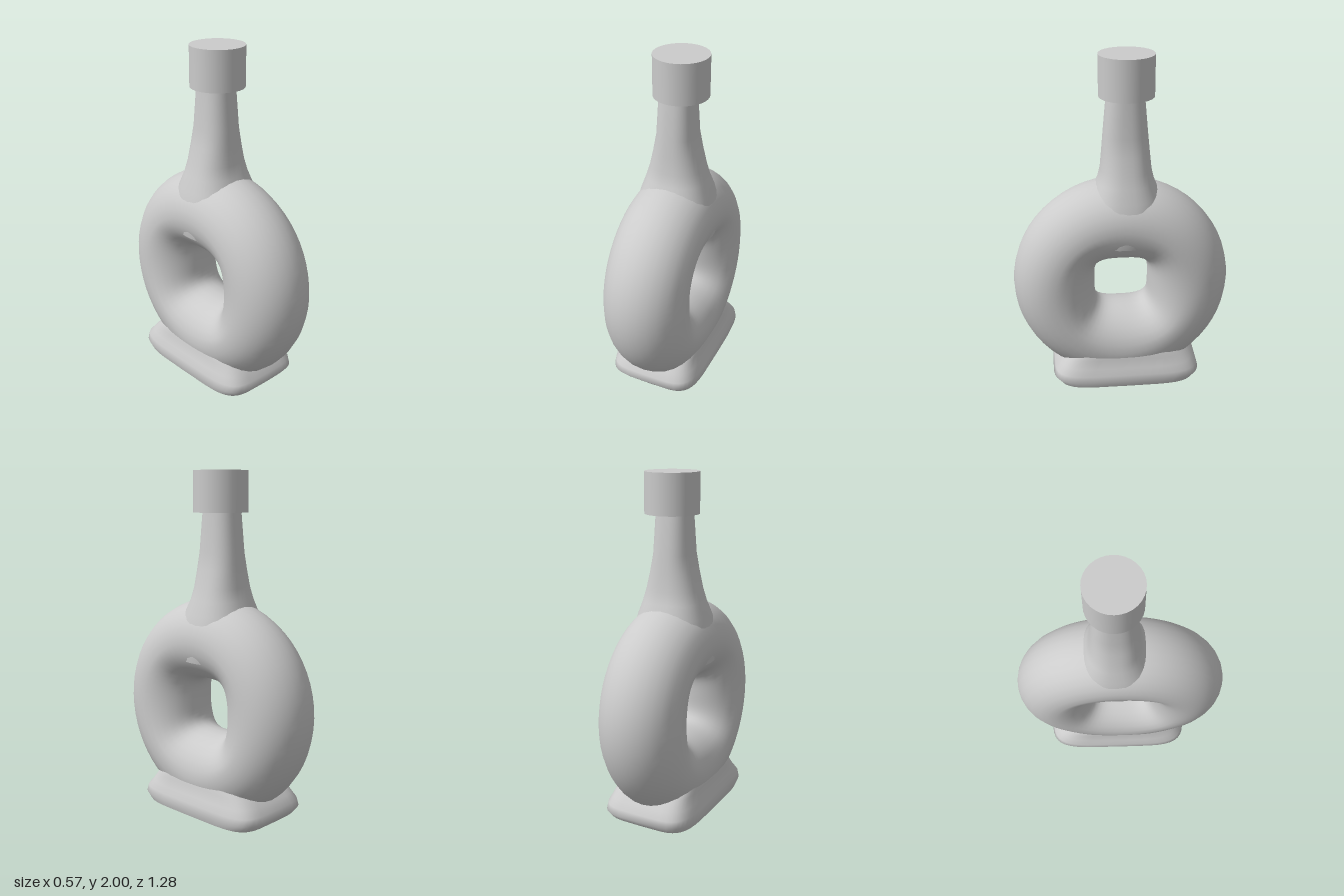
import * as THREE from 'three';

const material = new THREE.MeshStandardMaterial({ color: 0xcccccc });

// Skins superellipse sections [y, half width x, half depth z, centre z], listed from bottom to top
function loft(sections, power, sides = 40) {
  const pos = [], index = [];
  const bend = (v) => Math.sign(v) * Math.abs(v) ** (2 / power);
  for (const [y, hx, hz, cz] of sections) {
    for (let i = 0; i < sides; i++) {
      const a = (i / sides) * Math.PI * 2;
      pos.push(hx * bend(Math.sin(a)), y, cz + hz * bend(Math.cos(a)));
    }
  }
  for (let j = 0; j < sections.length - 1; j++) {
    for (let i = 0; i < sides; i++) {
      const k = (i + 1) % sides;
      const a = j * sides + i, b = j * sides + k;
      index.push(a, b, b + sides, a, b + sides, a + sides);
    }
  }
  const g = new THREE.BufferGeometry();
  g.setAttribute('position', new THREE.Float32BufferAttribute(pos, 3));
  g.setIndex(index);
  g.computeVertexNormals();
  return g;
}

// Ring lying in the yz plane, round outside with a slightly squared hole
function ringGeometry(R, r, halfWidth) {
  const sides = 28, around = 56, centreY = 0.643;
  const pos = [], index = [];
  for (let j = 0; j < around; j++) {
    const t = (j / around) * Math.PI * 2;
    const c = Math.cos(t), s = Math.sin(t);
    const square = (c ** 4 + s ** 4) ** -0.25;
    for (let i = 0; i < sides; i++) {
      const p = (i / sides) * Math.PI * 2;
      const inward = Math.max(0, -Math.cos(p));
      const rad = (R + r * Math.cos(p)) * (1 + (square - 1) * inward);
      pos.push(halfWidth * Math.sin(p), centreY + rad * s, rad * c);
      const i2 = (i + 1) % sides, j2 = (j + 1) % around;
      const a = j * sides + i, b = j * sides + i2;
      const d = j2 * sides + i, e = j2 * sides + i2;
      index.push(a, b, e, a, e, d);
    }
  }
  const g = new THREE.BufferGeometry();
  g.setAttribute('position', new THREE.Float32BufferAttribute(pos, 3));
  g.setIndex(index);
  g.computeVertexNormals();
  return g;
}

export function createModel() {
  const group = new THREE.Group();
  const add = (name, geometry) => {
    const mesh = new THREE.Mesh(geometry, material);
    mesh.name = name;
    group.add(mesh);
    return mesh;
  };

  // Ring-shaped body
  add('body', ringGeometry(0.4, 0.24, 0.245));

  // Neck, flaring down into the shoulders of the ring
  add('neck', loft([
    [0.93, 0.225, 0.19, -0.01],
    [1.03, 0.243, 0.23, -0.015],
    [1.12, 0.227, 0.225, -0.02],
    [1.2, 0.205, 0.2, -0.025],
    [1.28, 0.178, 0.163, -0.027],
    [1.35, 0.157, 0.146, -0.027],
    [1.45, 0.133, 0.136, -0.026],
    [1.55, 0.113, 0.127, -0.025],
    [1.79, 0.1, 0.105, -0.025],
  ], 2.4));

  // Flared foot and its gently domed underside
  const rim = [0.03, 0.272, 0.415, -0.02];
  add('foot', loft([
    rim,
    [0.07, 0.284, 0.448, -0.02],
    [0.11, 0.279, 0.437, -0.02],
    [0.15, 0.26, 0.405, -0.02],
    [0.2, 0.244, 0.365, -0.015],
    [0.27, 0.232, 0.28, -0.01],
    [0.34, 0.2, 0.18, 0],
  ], 5));
  add('footUnderside', loft([
    [0, 0, 0, -0.02],
    [0.004, 0.1, 0.15, -0.02],
    [0.015, 0.2, 0.3, -0.02],
    rim,
  ], 5));

  // Cap, set slightly off centre
  add('cap', new THREE.CylinderGeometry(0.155, 0.155, 0.23, 32)).position.set(0.015, 1.885, -0.03);

  return group;
}
